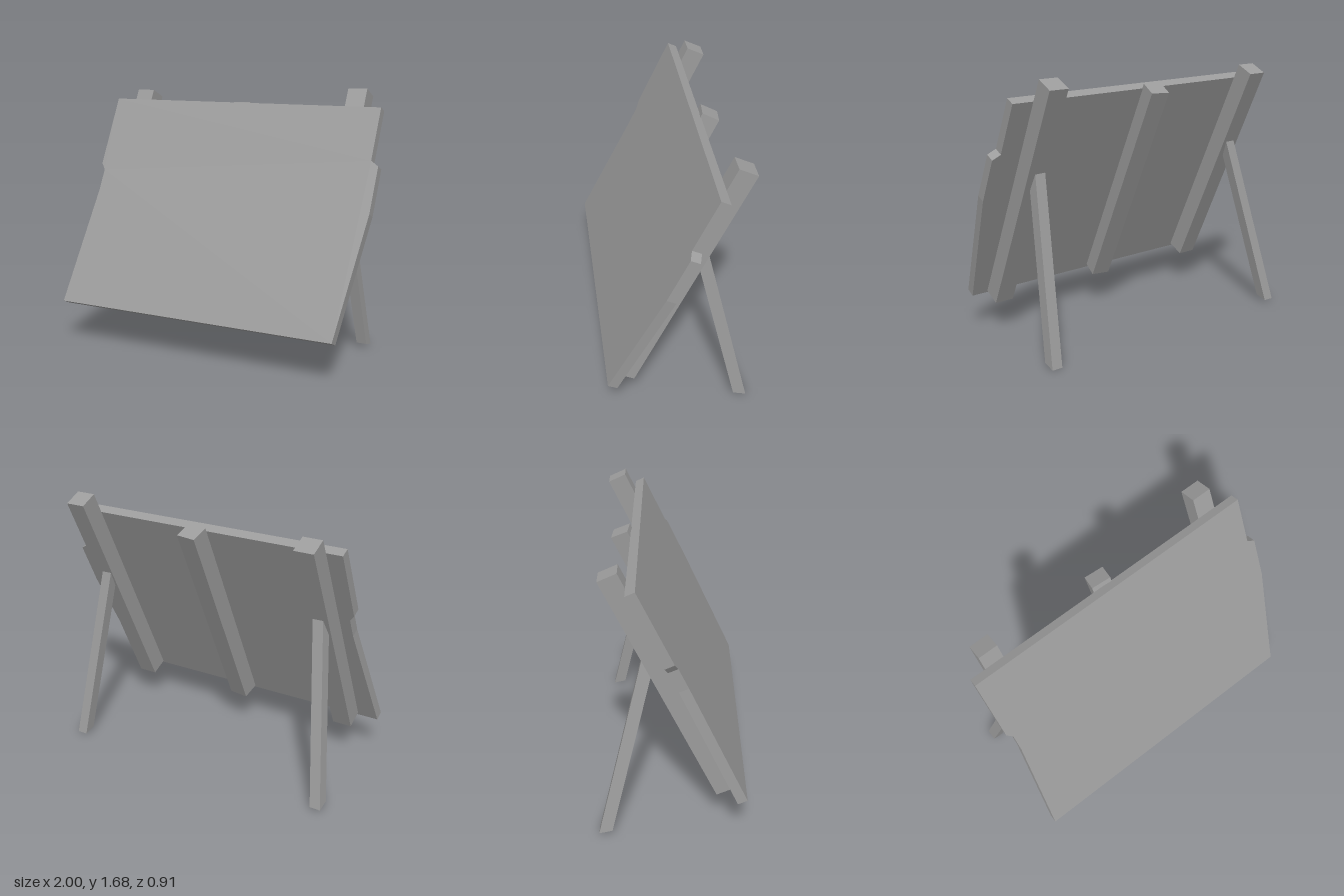
import * as THREE from 'three';

const material = new THREE.MeshStandardMaterial({ color: 0x9b9b9b, flatShading: true, side: THREE.DoubleSide });

// Move every vertex by a rule that returns [x, y, z]
function warp(geometry, rule) {
  const p = geometry.attributes.position;
  for (let i = 0; i < p.count; i++) p.setXYZ(i, ...rule(p.getX(i), p.getY(i), p.getZ(i)));
  geometry.computeVertexNormals();
  return geometry;
}

// Box without its bottom face: a hollow beam, open at the foot
function openBeam(width, depth) {
  const box = new THREE.BoxGeometry(width, 1, depth);
  box.setIndex(Array.from(box.index.array).filter((_, i) => i < 18 || i >= 24));
  box.clearGroups();
  return box;
}

// Leaning board space: d counts board thicknesses behind the front face
const lean = (x, y, d) => [x, y - 0.026 * d, 0.455 - 0.023 * (x + 1) - 0.48 * (y - 0.27) - 0.056 * d];
const mix = THREE.MathUtils.lerp;

export function createModel() {
  const model = new THREE.Group();
  const add = (name, geometry) => {
    const mesh = new THREE.Mesh(geometry, material);
    mesh.name = name;
    model.add(mesh);
  };

  // Board with ragged, notched sides
  const outline = new THREE.Shape([
    [-1, 0.27], [0.92, 0.26], [1, 0.97], [1, 1.24], [0.95, 1.27], [0.95, 1.58],
    [-0.97, 1.59], [-0.97, 1.155], [-0.938, 1.115], [-0.938, 0.99],
  ].map(([x, y]) => new THREE.Vector2(x, y)));
  const board = new THREE.ExtrudeGeometry(outline, { depth: 1, bevelEnabled: false });
  add('board', warp(board, (x, y, z) => lean(x, y, 1 - z)));

  // Battens on the back: centre x, bottom, top, depth, twist about the long axis
  for (const [name, cx, y0, y1, depth, twist] of [
    ['rightBatten', -0.805, 0.287, 1.677, 1.95, 0],
    ['middleBatten', -0.026, 0.287, 1.612, 1.8, 1],
    ['leftBatten', 0.752, 0.272, 1.712, 1.95, 0],
  ]) {
    add(name, warp(openBeam(0.125, depth), (x, y, z) => {
      const d = 1 + depth / 2 - z - twist * x * 1.6;
      return lean(cx + x - twist * z * 0.009, mix(y0, y1, y + 0.5), d);
    }));
  }

  // Rear legs, splayed sideways and running up into the outer battens
  for (const [name, x0, x1, y0, z0] of [
    ['rightLeg', -0.965, -0.795, 0.025, -0.38],
    ['leftLeg', 0.806, 0.73, 0.012, -0.415],
  ]) {
    add(name, warp(openBeam(0.068, 0.08), (x, y, z) => {
      const t = y + 0.5;
      return [mix(x0, x1, t) + x, mix(y0, 1.165, t) + z * 0.25, mix(z0, z0 + 0.271, t) + z];
    }));
  }
  return model;
}
